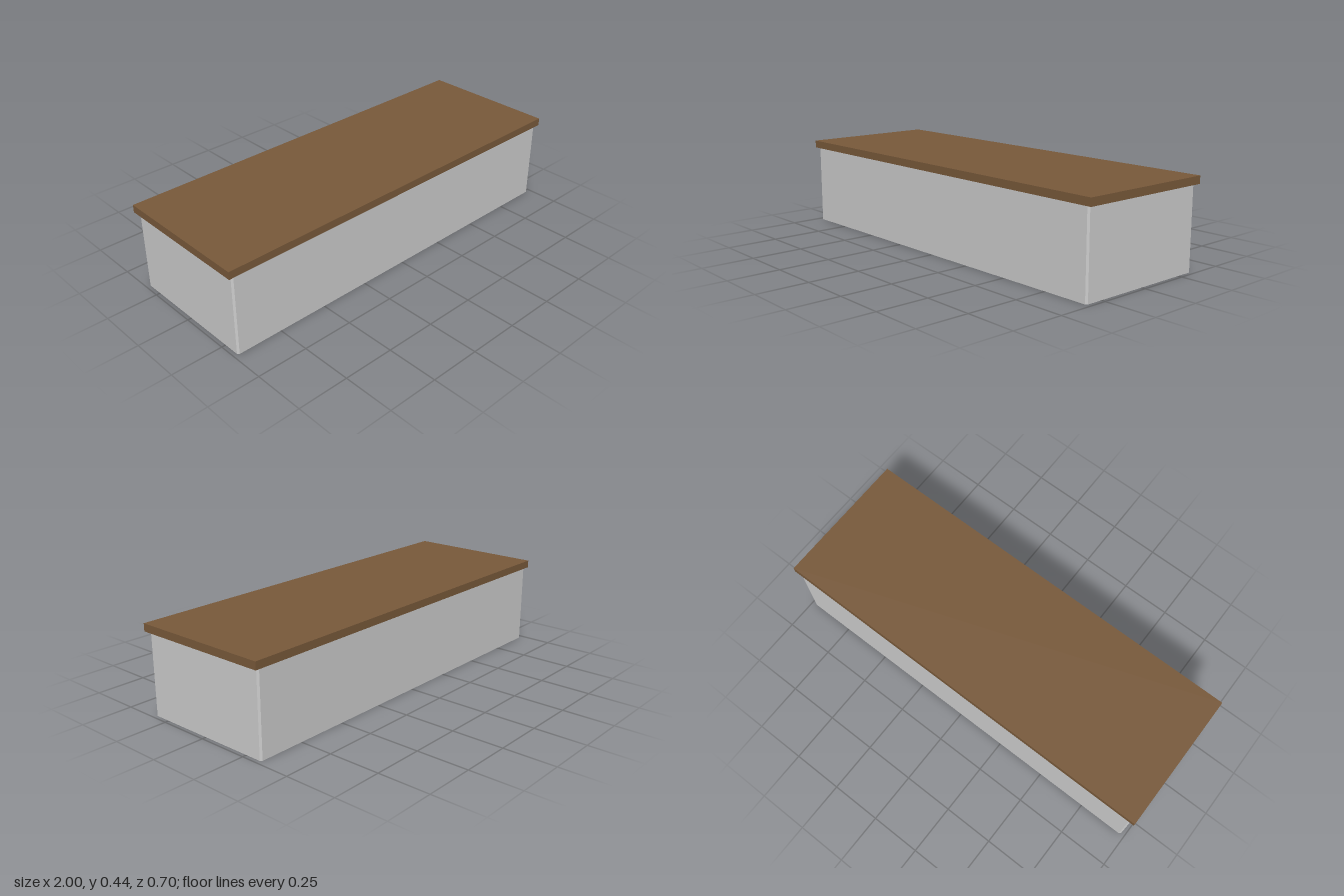
import * as THREE from 'three';

const BODY = { w: 1.96, d: 0.674, h: 0.398, chamfer: 0.008 };
const TOP = { w: 2, d: 0.696, h: 0.037 };

// Rectangle with its four corners cut off
function chamferedRectangle(w, d, c) {
  const x = w / 2, y = d / 2;
  return new THREE.Shape([
    [x - c, -y], [x, -y + c], [x, y - c], [x - c, y],
    [-x + c, y], [-x, y - c], [-x, -y + c], [-x + c, -y],
  ].map(([px, py]) => new THREE.Vector2(px, py)));
}

export function createModel() {
  const model = new THREE.Group();
  model.name = 'bench';

  // Base block with chamfered upright corners
  const baseGeometry = new THREE.ExtrudeGeometry(
    chamferedRectangle(BODY.w, BODY.d, BODY.chamfer),
    { depth: BODY.h, bevelEnabled: false },
  );
  baseGeometry.rotateX(-Math.PI / 2);
  const base = new THREE.Mesh(
    baseGeometry,
    new THREE.MeshStandardMaterial({ color: 0xcccccc }),
  );
  base.name = 'base';
  model.add(base);

  // Overhanging wooden top slab
  const top = new THREE.Mesh(
    new THREE.BoxGeometry(TOP.w, TOP.h, TOP.d),
    new THREE.MeshStandardMaterial({ color: 0x78593a }),
  );
  top.name = 'topSlab';
  top.position.y = BODY.h + TOP.h / 2;
  model.add(top);

  return model;
}
